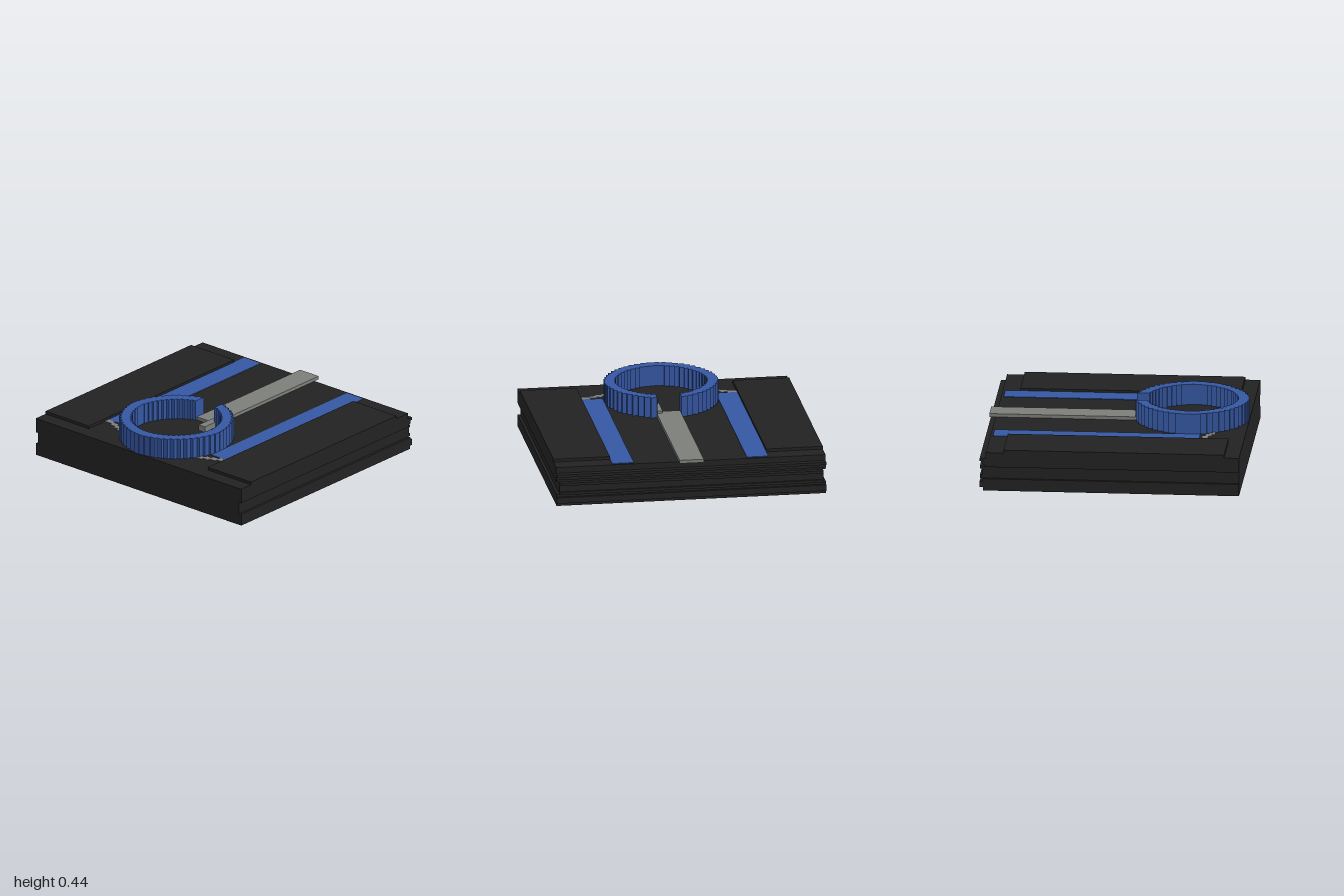
import * as THREE from 'three';

const mat = (name, color) => new THREE.MeshStandardMaterial({ name, color });

export function createModel() {
  const black = mat('black', 0x222222);
  const blue = mat('blue', 0x3557a2);
  const grey = mat('grey', 0x7c7e7a);
  const model = new THREE.Group();

  // Box given by its limits on each axis
  function box(name, material, x0, x1, y0, y1, z0, z1) {
    const mesh = new THREE.Mesh(new THREE.BoxGeometry(x1 - x0, y1 - y0, z1 - z0), material);
    mesh.position.set((x0 + x1) / 2, (y0 + y1) / 2, (z0 + z1) / 2);
    mesh.name = name;
    model.add(mesh);
  }

  // Base slab: layers of [bottom, top, half width, back edge], ridged at the back, grooved at the sides
  const layers = [
    [0, 0.025, 1, -0.93], [0.025, 0.07, 1, -0.955], [0.07, 0.09, 1, -0.935],
    [0.09, 0.11, 0.98, -0.955], [0.11, 0.16, 0.98, -0.94], [0.16, 0.18, 0.98, -0.955],
    [0.18, 0.2, 1, -0.915], [0.2, 0.225, 1, -0.935], [0.225, 0.245, 1, -0.955],
    [0.245, 0.29, 1, -0.91],
  ];
  for (const [y0, y1, w, back] of layers) box('baseLayer', black, -w, w, y0, y1, back, 0.955);

  // Paired parts, mirrored left and right
  for (const s of [1, -1]) {
    const pair = (name, m, a, b, ...rest) => box(name, m, Math.min(s * a, s * b), Math.max(s * a, s * b), ...rest);
    pair('sidePanel', black, 0.58, 1, 0.29, 0.312, -0.78, 0.845);
    pair('blueStrip', blue, 0.42, 0.58, 0.288, 0.294, -0.89, 0.625);
    // Stepped trail joining the strip to the ring
    const xs = [0.58, 0.51, 0.46, 0.415, 0.36];
    for (let i = 0; i < 4; i++) {
      const z = 0.625 + i * 0.021;
      pair('trailStep', grey, xs[i + 1], xs[i], 0.288, 0.293, z, z + 0.042);
    }
  }

  // Central bar and its small latch
  box('centreBar', grey, -0.09, 0.09, 0.29, 0.315, -0.955, 0.2);
  box('latch', grey, 0.045, 0.105, 0.29, 0.333, 0.155, 0.335);

  // Open ring with a staircase outline; its gap faces the back
  const steps = 26;
  function stairs(radius) {
    const gap = Math.asin(0.09 / radius);
    const half = [];
    for (let i = 0; i <= steps; i++) {
      const a = gap + (Math.PI - gap) * i / steps;
      const p = new THREE.Vector2(radius * Math.sin(a), radius * Math.cos(a));
      if (i > 0) {
        const q = half[half.length - 1];
        half.push(a < Math.PI / 2 ? new THREE.Vector2(q.x, p.y) : new THREE.Vector2(p.x, q.y));
      }
      half.push(p);
    }
    const mirrored = half.slice(0, -1).reverse().map(p => new THREE.Vector2(-p.x, p.y));
    return [...half, ...mirrored];
  }
  const outline = [...stairs(0.422), ...stairs(0.342).reverse()];
  const ringGeometry = new THREE.ExtrudeGeometry(new THREE.Shape(outline), { depth: 0.157, bevelEnabled: false });
  ringGeometry.rotateX(-Math.PI / 2);
  const ring = new THREE.Mesh(ringGeometry, blue);
  ring.position.set(0, 0.288, 0.532);
  ring.name = 'ring';
  model.add(ring);

  return model;
}
